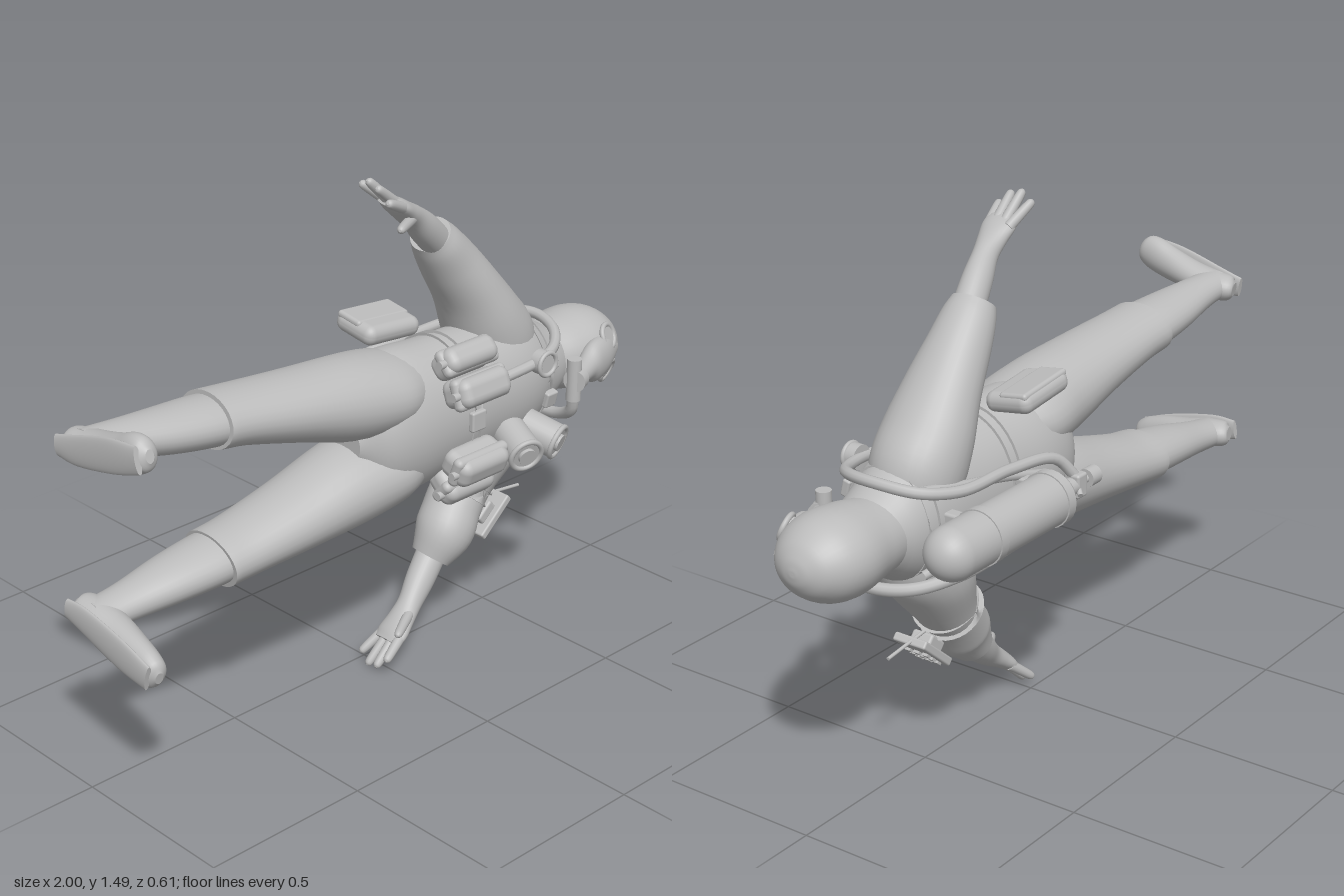
import * as THREE from 'three';
import { RoundedBoxGeometry } from 'three/addons/geometries/RoundedBoxGeometry.js';

const MID = 0.755; // height of the body's long axis
const gray = new THREE.MeshStandardMaterial({ color: 0xbcbcbc });
gray.name = 'plain gray';
const V = (x, y, z) => new THREE.Vector3(x, y, z);
const Z = V(0, 0, 1), Y = V(0, 1, 0);

// Elliptical loft through sections [x, y, z, radius across, radius along ref]
function loft(sections, ref = Z, sides = 28, sub = 5) {
  const path = new THREE.CatmullRomCurve3(sections.map(s => V(s[0], s[1], s[2])), false, 'catmullrom');
  const size = new THREE.CatmullRomCurve3(sections.map(s => V(s[3], s[4], 0)), false, 'catmullrom');
  const rings = (sections.length - 1) * sub, pos = [], idx = [];
  const ringPoints = i => {
    const p = path.getPoint(i / rings), r = size.getPoint(i / rings), t = path.getTangent(i / rings);
    const b = ref.clone().addScaledVector(t, -ref.dot(t)).normalize();
    const n = b.clone().cross(t);
    for (let j = 0; j < sides; j++) {
      const a = j / sides * Math.PI * 2;
      const q = p.clone().addScaledVector(n, Math.cos(a) * r.x).addScaledVector(b, Math.sin(a) * r.y);
      pos.push(q.x, q.y, q.z);
    }
    return p;
  };
  for (let i = 0; i <= rings; i++) ringPoints(i);
  for (let i = 0; i < rings; i++) for (let j = 0; j < sides; j++) {
    const k = (j + 1) % sides, a = i * sides, c = a + sides;
    idx.push(a + j, a + k, c + j, a + k, c + k, c + j);
  }
  // separate cap vertices keep the end edges sharp
  for (const end of [0, rings]) {
    const start = pos.length / 3, p = ringPoints(end), m = start + sides;
    pos.push(p.x, p.y, p.z);
    for (let j = 0; j < sides; j++) {
      const k = (j + 1) % sides;
      if (end) idx.push(m, start + j, start + k); else idx.push(m, start + k, start + j);
    }
  }
  const g = new THREE.BufferGeometry();
  g.setAttribute('position', new THREE.Float32BufferAttribute(pos, 3));
  g.setIndex(idx);
  g.computeVertexNormals();
  return g;
}

export function createModel() {
  const model = new THREE.Group();
  const add = (name, geo, p = [0, 0, 0], r = [0, 0, 0], parent = model) => {
    const m = new THREE.Mesh(geo, gray);
    m.name = name;
    m.position.set(...p);
    m.rotation.set(...r);
    parent.add(m);
    return m;
  };
  const tube = (name, pts, r) => add(name, new THREE.TubeGeometry(
    new THREE.CatmullRomCurve3(pts.map(p => V(...p))), 60, r, 10));
  const box = (x, y, z, r = 0.012) => new RoundedBoxGeometry(x, y, z, 3, r);
  const cyl = (r, h, r2 = r) => new THREE.CylinderGeometry(r, r2, h, 24);
  const alongX = [0, 0, -Math.PI / 2], alongZ = [Math.PI / 2, 0, 0];

  // torso
  add('torso', loft([[-0.12, MID, 0.03, 0.07, 0.08], [-0.05, MID, 0.03, 0.18, 0.145], [0.05, MID, 0.03, 0.218, 0.168],
    [0.2, MID, 0.03, 0.208, 0.165], [0.36, MID, 0.025, 0.2, 0.16], [0.5, MID, 0.02, 0.2, 0.155],
    [0.6, MID, 0.01, 0.17, 0.14], [0.68, MID, 0.01, 0.125, 0.12], [0.74, MID, 0.01, 0.09, 0.1]], Z, 40));

  // hooded head with a rounded crown
  const crown = [0, 25, 50, 70, 83, 90].map(d => {
    const a = d * Math.PI / 180, c = Math.max(Math.cos(a), 0.01);
    return [0.85 + 0.15 * Math.sin(a), MID, 0.01, 0.12 * c, 0.14 * c];
  });
  add('hood', loft([[0.66, MID, 0, 0.1, 0.105], [0.72, MID, 0.005, 0.106, 0.118], [0.78, MID, 0.01, 0.115, 0.132], ...crown], Z, 36));

  // breathing mask
  add('maskSnout', loft([[0.92, MID, 0.09, 0.04, 0.04], [0.85, MID, 0.125, 0.062, 0.043], [0.79, MID, 0.15, 0.062, 0.038],
    [0.74, MID, 0.168, 0.036, 0.032], [0.65, MID, 0.205, 0.026, 0.026]]));
  add('mouthpiece', cyl(0.034, 0.035), [0.665, MID, 0.2], [0, 0.38, -Math.PI / 2]);
  add('mouthpieceBar', cyl(0.022, 0.13), [0.66, MID, 0.195]);
  for (const s of [-1, 1]) {
    const eye = new THREE.Group();
    eye.name = 'eyepiece';
    eye.position.set(0.88, MID + s * 0.055, 0.132);
    eye.rotation.set(-s * 0.4, 0.3, 0);
    add('eyeRing', new THREE.TorusGeometry(0.035, 0.008, 10, 28), [0, 0, 0], [0, 0, 0], eye);
    add('eyeLens', cyl(0.034, 0.03), [0, 0, -0.012], alongZ, eye);
    model.add(eye);
  }

  // limbs, given for the upper side and mirrored for the lower one
  for (const s of [1, -1]) {
    const side = s > 0 ? 'left' : 'right';
    const f = pts => pts.map(([x, y, ...rest]) => [x, s > 0 ? y : 2 * MID - y, ...rest]);
    add(side + 'Thigh', loft(f([[0.12, 0.86, 0.03, 0.09, 0.12], [0.02, 0.868, 0.03, 0.11, 0.155], [-0.12, 0.885, 0.035, 0.117, 0.145],
      [-0.3, 0.918, 0.03, 0.097, 0.13], [-0.48, 0.948, 0.02, 0.08, 0.117], [-0.58, 0.96, 0.015, 0.076, 0.114]])));
    add(side + 'Shin', loft(f([[-0.5, 0.95, 0.015, 0.065, 0.1], [-0.6, 0.96, 0.013, 0.066, 0.1], [-0.72, 0.972, 0.008, 0.06, 0.088],
      [-0.84, 0.988, 0, 0.05, 0.068], [-0.91, 0.996, -0.005, 0.045, 0.062], [-0.96, 1, -0.008, 0.042, 0.064]])));
    add(side + 'Foot', loft(f([[-0.955, 0.992, -0.078, 0.025, 0.02], [-0.95, 0.994, -0.06, 0.047, 0.038], [-0.945, 1, 0, 0.053, 0.043],
      [-0.945, 1.015, 0.07, 0.05, 0.044], [-0.952, 1.035, 0.15, 0.043, 0.05], [-0.957, 1.055, 0.21, 0.039, 0.053],
      [-0.96, 1.062, 0.245, 0.032, 0.042], [-0.962, 1.066, 0.262, 0.012, 0.018]]), Y));
    add(side + 'Sole', loft(f([[-0.99, 0.99, -0.078, 0.01, 0.03], [-0.99, 1, 0, 0.01, 0.042],
      [-0.99, 1.035, 0.14, 0.01, 0.048], [-0.99, 1.06, 0.25, 0.01, 0.038]]), Y));
    const cuff = s > 0
      ? [[0.4, 1.06, 0, 0.094, 0.112], [0.33, 1.155, 0, 0.083, 0.092], [0.275, 1.225, 0.005, 0.07, 0.078], [0.245, 1.262, 0.008, 0.058, 0.064]]
      : [[0.4, 1.07, 0, 0.084, 0.095], [0.35, 1.13, 0.01, 0.084, 0.088], [0.3, 1.19, 0.025, 0.087, 0.088], [0.25, 1.258, 0.02, 0.058, 0.06]];
    add(side + 'Sleeve', loft(f([[0.54, 0.78, 0, 0.1, 0.11], [0.51, 0.87, 0, 0.13, 0.13], [0.46, 0.96, 0, 0.115, 0.13], ...cuff])));
    add(side + 'Forearm', loft(f([[0.28, 1.22, 0.015, 0.046, 0.046], [0.19, 1.3, 0.04, 0.045, 0.042], [0.13, 1.35, 0.058, 0.036, 0.036],
      [0.085, 1.382, 0.068, 0.03, 0.043], [0.045, 1.412, 0.073, 0.024, 0.052], [0.02, 1.43, 0.073, 0.015, 0.045]])));
    // fingers and thumb: root, tip
    const digits = [[[0.05, 1.41, 0.105], [-0.04, 1.452, 0.132]], [[0.04, 1.42, 0.085], [-0.043, 1.486, 0.093]],
      [[0.04, 1.42, 0.06], [-0.038, 1.497, 0.052]], [[0.05, 1.415, 0.038], [-0.025, 1.477, 0.01]],
      [[0.1, 1.365, 0.085], [-0.01, 1.372, 0.148]]];
    for (const [a, b] of digits) {
      const at = (k, r) => [...V(...a).lerp(V(...b), k).toArray(), r, r];
      add(side + 'Finger', loft(f([at(0, 0.016), at(0.5, 0.0145), at(0.9, 0.012), at(1, 0.004)]), Z, 12, 4));
    }
    // pair of rounded belt pouches with flaps
    for (const [y, z, tilt, h] of [[0.868, 0.215, -0.35, 0.085], [0.942, 0.165, -0.75, 0.075]]) {
      const pouch = new THREE.Group();
      pouch.name = side + 'Pouch';
      pouch.position.set(0.228, MID + s * (y - MID), z);
      pouch.rotation.x = tilt * s;
      add('pouchBody', box(0.19, h, 0.11, 0.03), [0, 0, 0], [0, 0, 0], pouch);
      add('pouchFlap', box(0.205, h + 0.008, 0.035, 0.016), [0, 0, 0.012], [0, 0, 0], pouch);
      add('pouchStud', cyl(0.012, 0.03), [-0.1, 0, 0.02], alongX, pouch);
      model.add(pouch);
    }
    // straps over the back
    tube(side + 'BackStrap', [[0.62, MID + s * 0.12, -0.1], [0.5, MID + s * 0.1, -0.125], [0.3, MID + s * 0.06, -0.135],
      [0.14, MID + s * 0.02, -0.15]], 0.013);
  }

  // belt and chest strap
  add('belt', loft([[0.235, MID, 0.029, 0.214, 0.172], [0.27, MID, 0.028, 0.212, 0.171]], Z, 40, 1));
  add('beltBuckle', box(0.055, 0.06, 0.02, 0.006), [0.25, MID, 0.2]);
  add('chestStrap', loft([[0.585, MID, 0.012, 0.182, 0.15], [0.62, MID, 0.012, 0.165, 0.14]], Z, 40, 1));
  for (const y of [0.7, 0.82]) add('strapClip', box(0.045, 0.05, 0.025, 0.006), [0.6, y, 0.155], [y > MID ? -0.25 : 0.25, 0, 0]);

  // air tank on the back
  const tankZ = -0.233;
  add('airTank', new THREE.CapsuleGeometry(0.075, 0.42, 12, 32), [0.455, MID, tankZ], alongX);
  for (const x of [0.24, 0.54]) {
    add('tankBand', cyl(0.079, 0.03), [x, MID, tankZ], alongX);
    add('tankMount', box(0.04, 0.09, 0.09, 0.008), [x, MID, -0.145]);
  }
  add('tankNeck', cyl(0.025, 0.07), [0.15, MID, tankZ], alongX);
  add('valveBody', box(0.045, 0.07, 0.05, 0.008), [0.115, MID, tankZ]);
  add('valveStem', cyl(0.012, 0.07), [0.075, MID, tankZ], alongX);
  add('valveKnob', cyl(0.027, 0.042), [0.047, MID, tankZ], alongX);
  add('valveLever', cyl(0.008, 0.07), [0.12, MID, tankZ - 0.01], [0.9, 0, 0.6]);

  // hoses looping around the neck
  tube('gaugeHose', [[0.11, 0.77, -0.235], [0.17, 0.84, -0.205], [0.35, 0.865, -0.185], [0.55, 0.87, -0.175], [0.65, 0.885, -0.12],
    [0.69, 0.9, 0], [0.665, 0.89, 0.1], [0.6, 0.87, 0.165], [0.5, 0.86, 0.195], [0.35, 0.85, 0.195]], 0.016);
  tube('breathingHose', [[0.11, 0.74, -0.235], [0.17, 0.67, -0.205], [0.35, 0.645, -0.185], [0.55, 0.635, -0.175], [0.65, 0.61, -0.1],
    [0.69, 0.6, 0], [0.69, 0.61, 0.11], [0.67, 0.65, 0.18], [0.66, 0.7, 0.195]], 0.018);
  add('gauge', cyl(0.036, 0.035), [0.505, 0.86, 0.21], alongZ);
  add('gaugeRim', new THREE.TorusGeometry(0.034, 0.007, 10, 28), [0.505, 0.86, 0.229]);

  // round canisters on the chest
  for (const [x, lean] of [[0.392, -0.3], [0.492, 0.3]]) {
    const can = new THREE.Group();
    can.name = 'chestCanister';
    can.position.set(x, 0.645, 0.225);
    can.rotation.set(0.3, lean, 0);
    add('canisterBody', cyl(0.052, 0.11), [0, 0, 0], alongZ, can);
    add('canisterRim', new THREE.TorusGeometry(0.048, 0.008, 10, 32), [0, 0, 0.054], [0, 0, 0], can);
    add('canisterHub', cyl(0.026, 0.02), [0, 0, 0.055], alongZ, can);
    model.add(can);
  }

  // soft bag on the left hip
  add('hipBag', box(0.21, 0.06, 0.15, 0.028), [0.135, 0.998, -0.085], [0.15, 0, -0.1]);
  add('hipBagFlap', box(0.2, 0.022, 0.09, 0.01), [0.135, 1.022, -0.105], [0.15, 0, -0.1]);

  // right arm band with control pad
  add('armBand', loft([[0.4, 0.445, 0, 0.096, 0.102], [0.375, 0.414, 0, 0.097, 0.1]], Z, 32, 1));
  const pad = new THREE.Group();
  pad.name = 'controlPad';
  pad.position.set(0.47, 0.325, 0.025);
  pad.rotation.z = 0.72;
  add('padCase', box(0.15, 0.025, 0.11, 0.006), [0, 0, 0], [0, 0, 0], pad);
  add('padBracket', box(0.07, 0.035, 0.07, 0.008), [-0.005, 0.025, 0], [0, 0, 0], pad);
  for (let i = 0; i < 3; i++) for (let j = 0; j < 3; j++)
    add('padKey', new THREE.BoxGeometry(0.018, 0.01, 0.018), [-0.045 + i * 0.03, -0.015, -0.03 + j * 0.03], [0, 0, 0], pad);
  model.add(pad);
  add('antenna', cyl(0.005, 0.16), [0.545, 0.37, 0.02], [0, 0, -Math.PI / 2 - 0.12]);

  return model;
}
